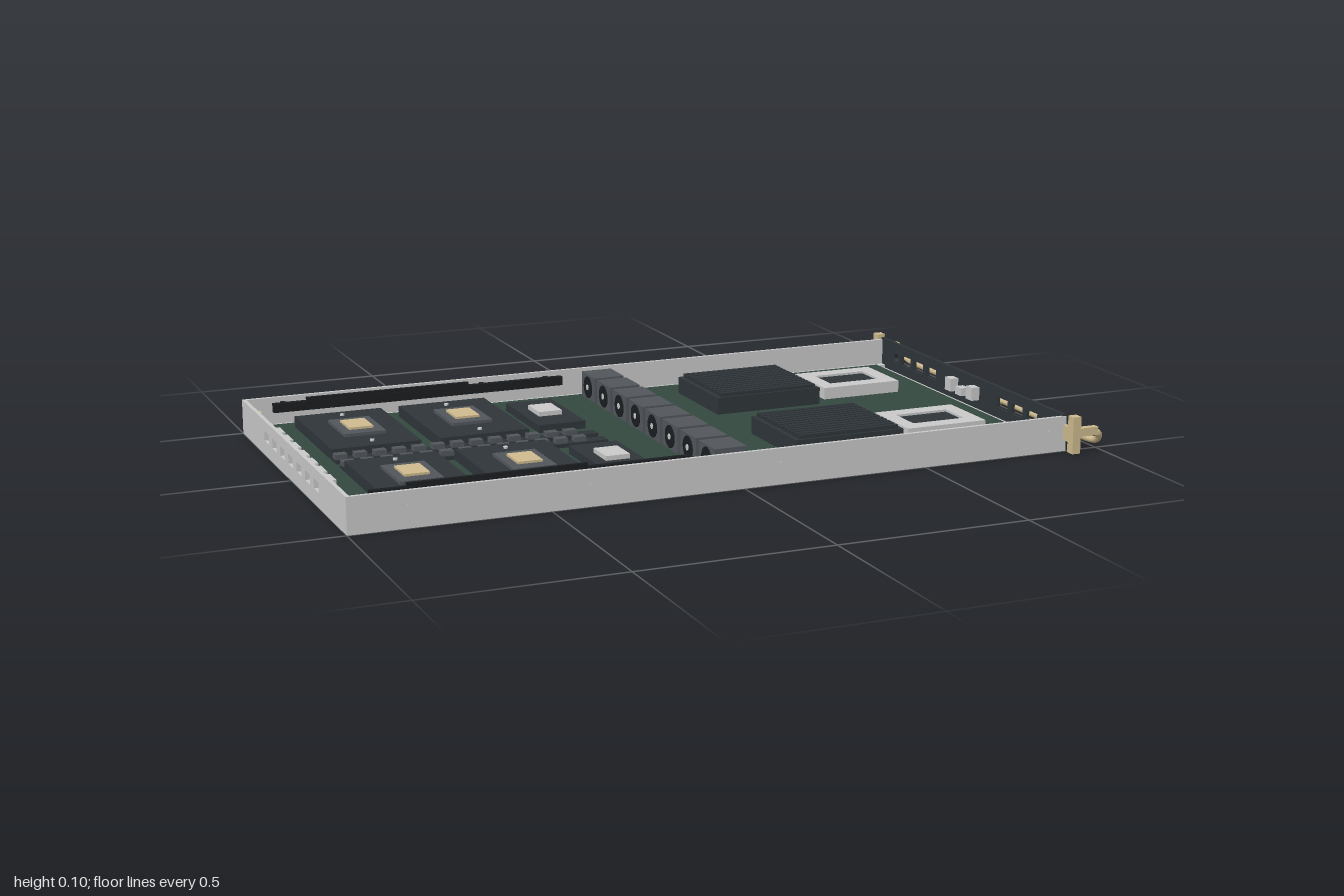
import * as THREE from 'three';

const mat = (color, side = THREE.FrontSide) => new THREE.MeshStandardMaterial({ color, side });
const M = {
  steel: mat(0xcccccc), dark: mat(0x30363b), black: mat(0x1b1e21),
  fan: mat(0x53575c), board: mat(0x35493f), brass: mat(0xd0bc90),
};

function add(parent, name, geo, material) {
  const mesh = new THREE.Mesh(geo, material);
  mesh.name = name;
  parent.add(mesh);
  return mesh;
}

// Box given by its min/max extents
function box(parent, name, material, x0, x1, y0, y1, z0, z1) {
  const m = add(parent, name, new THREE.BoxGeometry(x1 - x0, y1 - y0, z1 - z0), material);
  m.position.set((x0 + x1) / 2, (y0 + y1) / 2, (z0 + z1) / 2);
  return m;
}

// Cylinder centred at p along the given axis
function rod(parent, name, material, r, len, p, axis = 'y') {
  const g = new THREE.CylinderGeometry(r, r, len, 16);
  if (axis === 'x') g.rotateZ(Math.PI / 2);
  if (axis === 'z') g.rotateX(Math.PI / 2);
  const m = add(parent, name, g, material);
  m.position.set(...p);
  return m;
}

// Upright plate across the tray, pierced by rectangular [z0, z1, y0, y1] and round [z, y, r] holes
function plate(parent, name, material, x, thick, half, y0, y1, holes) {
  const rect = (P, a, b, c, d) => new P([[a, c], [b, c], [b, d], [a, d]].map(q => new THREE.Vector2(...q)));
  const s = rect(THREE.Shape, -half, half, y0, y1);
  for (const h of holes) {
    s.holes.push(h.length === 4 ? rect(THREE.Path, ...h)
      : new THREE.Path().absarc(h[0], h[1], h[2], 0, Math.PI * 2, true));
  }
  const g = new THREE.ExtrudeGeometry(s, { depth: thick, bevelEnabled: false, curveSegments: 10 });
  g.rotateY(Math.PI / 2);
  add(parent, name, g, material).position.x = x;
}

function buildTray(g) {
  box(g, 'trayFloor', M.steel, -1, 0.91, 0, 0.012, -0.5, 0.5);
  for (const s of [-1, 1]) {
    const side = (n, m, x0, x1, y0, y1, a, b) =>
      box(g, n, m, x0, x1, y0, y1, Math.min(s * a, s * b), Math.max(s * a, s * b));
    side('sideWall', M.steel, -1, 0.91, 0.012, 0.092, 0.49, 0.5);
    side('wallLedge', M.steel, -0.99, 0.9, 0.012, 0.02, 0.472, 0.49);
    // cable rail hung along the wall
    side('sideRail', M.black, -0.93, -0.12, 0.062, 0.086, 0.44, 0.456);
    side('railCap', M.black, -0.84, -0.39, 0.086, 0.095, 0.443, 0.453);
    for (let i = 0; i < 5; i++) {
      const x = -0.9 + i * 0.185;
      side('railSpacer', M.black, x, x + 0.012, 0.068, 0.08, 0.456, 0.49);
    }
    for (const x of [-0.85, -0.4, 0.1, 0.6, 0.86]) {
      rod(g, 'sideScrew', M.steel, 0.005, 0.003, [x, 0.055, s * 0.5], 'z');
    }
    rod(g, 'rearKnob', M.brass, 0.011, 0.025, [-0.977, 0.06, s * 0.445], 'x');
  }
  // rear wall with its row of ports
  const ports = Array.from({ length: 7 }, (_, i) => (i - 3) * 0.08);
  plate(g, 'rearWall', M.steel, -1, 0.01, 0.49, 0.012, 0.092, ports.map(z => [z - 0.022, z + 0.022, 0.038, 0.064]));
  for (const z of ports) {
    const port = new THREE.Group();
    port.name = 'rearPort';
    g.add(port);
    for (const s of [-1, 1]) {
      box(port, 'portSide', M.steel, -1, -0.958, 0.034, 0.068, z + s * 0.025 - 0.003, z + s * 0.025 + 0.003);
    }
    box(port, 'portTop', M.steel, -1, -0.958, 0.064, 0.068, z - 0.025, z + 0.025);
    box(port, 'portBottom', M.steel, -1, -0.958, 0.034, 0.038, z - 0.025, z + 0.025);
    box(port, 'portCore', M.dark, -0.975, -0.96, 0.038, 0.064, z - 0.022, z + 0.022);
  }
}

function buildFrontPanel(g) {
  const holes = [];
  for (const s of [-1, 1]) {
    for (const z of [0.196, 0.272, 0.346]) holes.push([s * z - 0.028, s * z + 0.028, 0.039, 0.069]);
    holes.push([s * 0.404, 0.054, 0.012]);
    const ring = add(g, 'lockRing', new THREE.TorusGeometry(0.015, 0.004, 8, 20), M.black);
    ring.rotation.y = Math.PI / 2;
    ring.position.set(0.911, 0.054, s * 0.404);
    box(g, 'panelLatch', M.black, 0.91, 0.914, 0.04, 0.068, s * 0.433 - 0.006, s * 0.433 + 0.006);
    for (const y of [0.035, 0.08]) rod(g, 'panelScrew', M.steel, 0.004, 0.004, [0.912, y, s * 0.48], 'x');
  }
  plate(g, 'frontPanel', M.dark, 0.9, 0.01, 0.497, 0.012, 0.097, holes);
  // front connectors
  for (const z of [-0.058, 0, 0.058]) {
    const h = z ? 0.036 : 0.022;
    box(g, 'frontConnector', M.steel, 0.876, 0.9, 0.038, 0.038 + h, z - 0.016, z + 0.016);
    box(g, 'connectorMouth', M.black, 0.91, 0.914, 0.038, 0.038 + h, z - 0.016, z + 0.016);
    box(g, 'connectorTongue', M.brass, 0.914, 0.916, 0.044, 0.048, z - 0.012, z + 0.012);
  }
}

function buildHandle(g) {
  const half = [[0.93, 0.058, 0.535], [0.972, 0.056, 0.535], [0.986, 0.045, 0.535], [0.991, 0.028, 0.52], [0.991, 0.021, 0.49]];
  const pts = [...half, [0.991, 0.021, 0.25], [0.991, 0.021, -0.25],
    ...half.map(([x, y, z]) => [x, y, -z]).reverse()].map(p => new THREE.Vector3(...p));
  const path = new THREE.CatmullRomCurve3(pts, false, 'centripetal');
  add(g, 'handleBar', new THREE.TubeGeometry(path, 120, 0.009, 10), M.brass);
  for (const s of [-1, 1]) {
    box(g, 'handleBracket', M.brass, 0.901, 0.924, 0.003, 0.1, s * 0.535 - 0.013, s * 0.535 + 0.013);
    box(g, 'handleArm', M.brass, 0.924, 0.978, 0.046, 0.068, s * 0.535 - 0.009, s * 0.535 + 0.009);
    box(g, 'bracketTab', M.brass, 0.901, 0.912, 0.03, 0.07, s * 0.51 - 0.013, s * 0.51 + 0.013);
  }
}

// Processor module with a stepped lid
function chipModule(g, x0, x1, z, halfZ, large) {
  const c = (x0 + x1) / 2, top = large ? 0.053 : 0.045;
  box(g, 'processorBase', M.dark, x0, x1, 0.024, top, z - halfZ, z + halfZ);
  if (large) {
    box(g, 'processorLid', M.fan, c - 0.055, c + 0.055, top, 0.061, z - 0.08, z + 0.08);
    box(g, 'processorCore', M.brass, c - 0.032, c + 0.032, 0.061, 0.067, z - 0.043, z + 0.043);
    for (const s of [-1, 1]) rod(g, 'processorScrew', M.steel, 0.006, 0.006, [c, top + 0.002, z + s * 0.14]);
  } else {
    box(g, 'controllerCore', M.steel, c - 0.032, c + 0.032, top, 0.057, z - 0.043, z + 0.043);
  }
}

function buildBoard(g) {
  box(g, 'circuitBoard', M.board, -0.96, 0.87, 0.012, 0.024, -0.468, 0.468);
  for (const s of [-1, 1]) {
    const z = s * 0.24;
    chipModule(g, -0.88, -0.645, z, 0.182, true);
    chipModule(g, -0.595, -0.355, z, 0.182, true);
    chipModule(g, -0.31, -0.18, z, 0.13, false);
    // row of small power blocks beside the centre line
    box(g, 'powerStrip', M.dark, -0.88, -0.18, 0.024, 0.034, s * 0.035 - 0.018, s * 0.035 + 0.018);
    for (let i = 0; i < 13; i++) {
      const x = -0.865 + i * 0.051;
      box(g, 'powerBlock', M.fan, x - 0.016, x + 0.016, 0.034, 0.047, s * 0.035 - 0.012, s * 0.035 + 0.012);
    }
    // finned heat sink
    box(g, 'heatSinkBase', M.dark, 0.2, 0.505, 0.024, 0.07, z - 0.133, z + 0.133);
    for (let i = 0; i < 13; i++) {
      const f = z - 0.12 + i * 0.02;
      box(g, 'heatSinkFin', M.dark, 0.212, 0.493, 0.07, 0.08, f - 0.006, f + 0.006);
    }
    // framed chip
    for (const e of [-1, 1]) {
      const zc = z + e * 0.07, xc = 0.655 + e * 0.095;
      box(g, 'chipFrameRail', M.steel, 0.54, 0.77, 0.024, 0.056, zc - 0.022, zc + 0.022);
      box(g, 'chipFrameEnd', M.steel, xc - 0.02, xc + 0.02, 0.024, 0.056, z - 0.048, z + 0.048);
    }
    box(g, 'framedChip', M.dark, 0.575, 0.735, 0.024, 0.05, z - 0.048, z + 0.048);
  }
}

function buildFans(g) {
  for (let i = 0; i < 8; i++) {
    const z = -0.403 + i * 0.115;
    const fan = new THREE.Group();
    fan.name = 'coolingFan';
    fan.position.set(-0.015, 0.058, z);
    g.add(fan);
    box(fan, 'fanHousing', M.fan, -0.043, 0.043, -0.034, 0.035, -0.048, 0.048);
    for (const s of [-1, 1]) {
      rod(fan, 'fanOpening', M.black, 0.03, 0.003, [s * 0.0435, 0, 0], 'x');
      rod(fan, 'fanHub', M.steel, 0.008, 0.004, [s * 0.0445, 0, 0], 'x');
    }
  }
}

export function createModel() {
  const model = new THREE.Group();
  model.name = 'serverTray';
  const parts = { tray: buildTray, frontPanelAssembly: buildFrontPanel, handle: buildHandle, mainBoard: buildBoard, fanRow: buildFans };
  for (const [name, build] of Object.entries(parts)) {
    const g = new THREE.Group();
    g.name = name;
    build(g);
    model.add(g);
  }
  return model;
}
